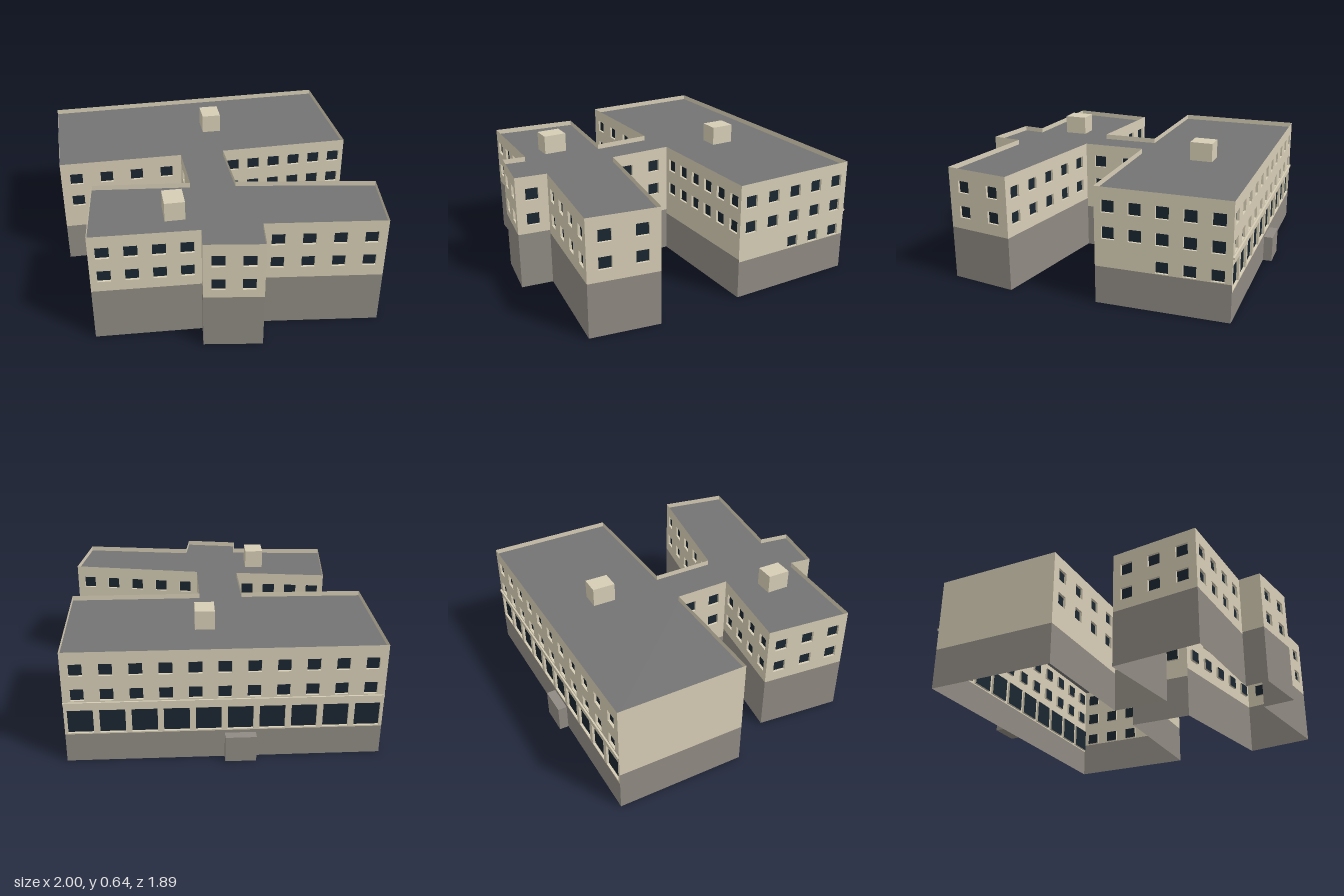
import * as THREE from 'three';

const TOP = 0.57, ROOF = 0.545, RECESS = 0.012;
const mat = (color) => new THREE.MeshStandardMaterial({ color, side: THREE.DoubleSide, flatShading: true });
const cream = mat(0xd6cdb5), stone = mat(0x8f8a82), roofGrey = mat(0x747474), glass = mat(0x1a2630);

// Footprint corners [x, z]; each carries the plinth height and window
// count of the wall that runs on to the next corner.
const plan = [
  [-0.09, -0.948, 0.185, 5], [0.417, -0.553, 0.198, 6], [0.016, -0.04, 0.22, 2],
  [0.262, 0.152, 0.265, 5], [0.768, -0.3, 0.265, 2], [0.997, -0.05, 0.265, 4],
  [0.588, 0.345, 0.28, 1], [0.697, 0.457, 0.28, 2], [0.492, 0.644, 0.28, 0],
  [0.414, 0.564, 0.27, 4], [0.077, 0.94, 0.27, 3], [-0.23, 0.64, 0.27, 4],
  [0.107, 0.307, 0.22, 2], [-0.116, 0.136, 0.2, 4], [-0.5, 0.614, 0.2, 0],
  [-1, 0.222, 0.145, 11],
];

function add(parent, name, geometry, material, x = 0, y = 0, z = 0) {
  const mesh = new THREE.Mesh(geometry, material);
  mesh.name = name;
  mesh.position.set(x, y, z);
  parent.add(mesh);
  return mesh;
}

function rectangle(PathType, x0, y0, x1, y1) {
  return new PathType([[x0, y0], [x1, y0], [x1, y1], [x0, y1]].map((p) => new THREE.Vector2(...p)));
}

// Evenly spaced openings along a wall
function row(length, count, y, w, h, first = 0) {
  const list = [];
  for (let i = first; i < count; i++) list.push({ x: ((i + 0.5) / count) * length, y, w, h });
  return list;
}

// Square open tube for the sides of a window opening
const reveal = new THREE.CylinderGeometry(Math.SQRT1_2, Math.SQRT1_2, 1, 4, 1, true, Math.PI / 4);
reveal.rotateX(Math.PI / 2);
const pane = new THREE.PlaneGeometry(1, 1);

// Wall in its own frame: x along the wall, z outwards
function makeWall(length, base, windows) {
  const wall = new THREE.Group();
  wall.name = 'wall';
  const panel = rectangle(THREE.Shape, 0, base, length, TOP);
  for (const { x, y, w, h } of windows) {
    panel.holes.push(rectangle(THREE.Path, x - w / 2, y - h / 2, x + w / 2, y + h / 2));
    add(wall, 'windowReveal', reveal, cream, x, y, -RECESS / 2).scale.set(w, h, RECESS);
    add(wall, 'windowPane', pane, glass, x, y, -RECESS).scale.set(w, h, 1);
  }
  add(wall, 'upperWall', new THREE.ShapeGeometry(panel), cream);
  add(wall, 'plinth', new THREE.PlaneGeometry(length, base), stone, length / 2, base / 2);
  return wall;
}

export function createModel() {
  const model = new THREE.Group();
  model.name = 'building';

  // Outer walls
  plan.forEach(([ax, az, base, count], i) => {
    const [bx, bz] = plan[(i + 1) % plan.length];
    const length = Math.hypot(ax - bx, az - bz);
    const windows = [...row(length, count, 0.352, 0.062, 0.06), ...row(length, count, 0.479, 0.062, 0.06)];
    const isEnd = i === 0, isLong = i === plan.length - 1;
    if (isEnd) windows.push(...row(length, 5, 0.218, 0.062, 0.057, 2));
    if (isLong) windows.push(...row(length, 10, 0.211, 0.12, 0.12));
    const wall = makeWall(length, base, windows);
    wall.position.set(bx, 0, bz);
    wall.rotation.y = Math.atan2(bz - az, ax - bx);
    model.add(wall);

    // Ledge over the large windows and the low porch on the long wall
    if (isLong) {
      add(wall, 'ledge', new THREE.BoxGeometry(length, 0.01, 0.008), cream, length / 2, 0.31, 0.004);
      const along = length - 0.815 > length / 2 ? length - 0.815 : 0.815;
      add(wall, 'porch', new THREE.BoxGeometry(0.146, 0.13, 0.045), stone, along, 0.065, 0.0225);
    }
  });

  // Flat roof set below the parapet
  const outline = new THREE.Shape(plan.map(([x, z]) => new THREE.Vector2(x, -z)));
  const roof = new THREE.ShapeGeometry(outline);
  roof.rotateX(-Math.PI / 2);
  add(model, 'roof', roof, roofGrey, 0, ROOF, 0);

  // Rooftop housings
  for (const [x, z] of [[-0.248, -0.232], [0.205, 0.525]]) {
    const box = add(model, 'rooftopHousing', new THREE.BoxGeometry(0.115, 0.105, 0.095), cream, x, 0.5865, z);
    box.rotation.y = -0.68;
  }
  return model;
}
